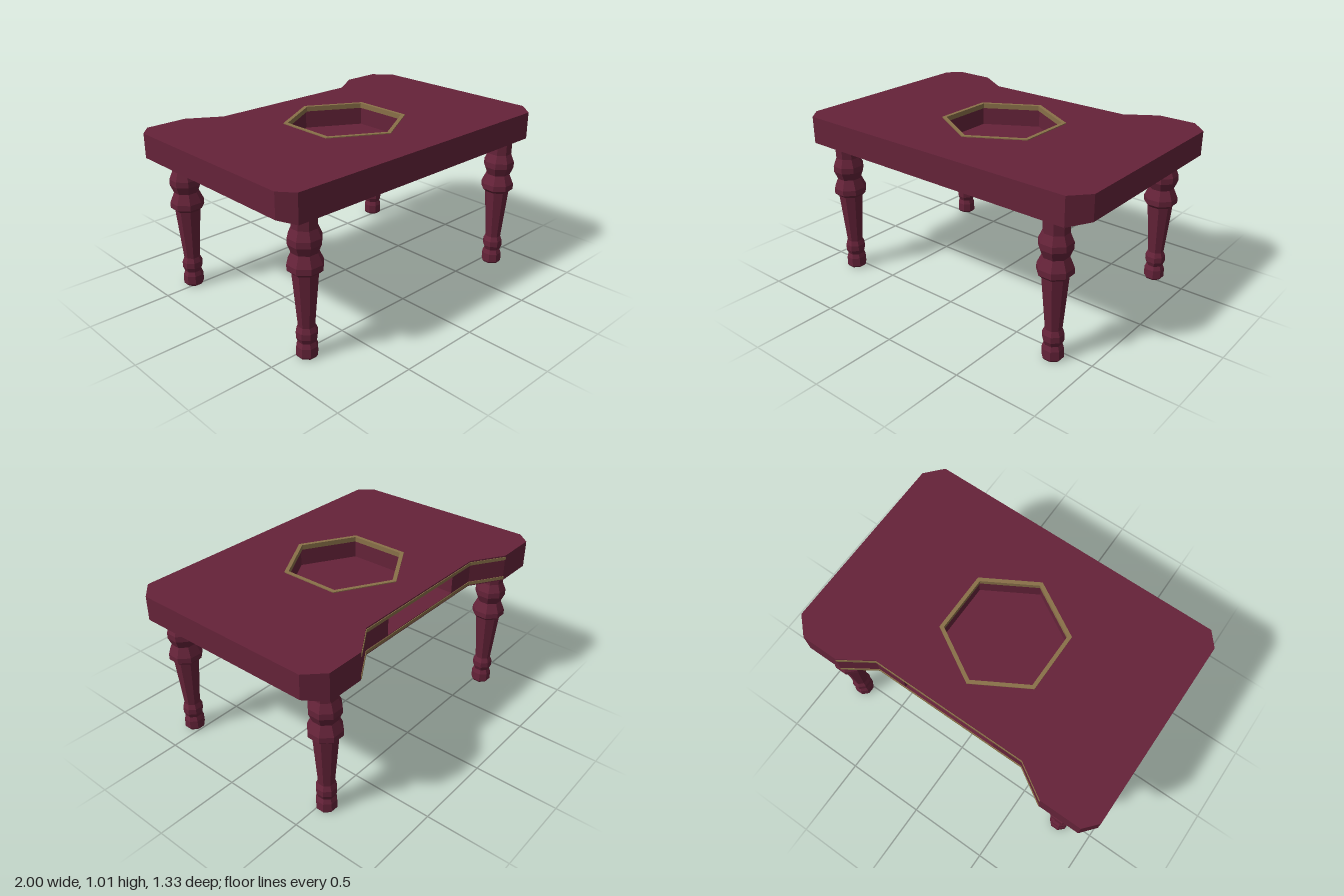
import * as THREE from 'three';

const wood = new THREE.MeshStandardMaterial({ color: 0x652339, flatShading: true });
wood.name = 'burgundy wood';
const brass = new THREE.MeshStandardMaterial({ color: 0x897048, flatShading: true });
brass.name = 'dull brass';

// Notch along the back edge, as [x, z]
const notch = [[-0.68, -0.665], [-0.485, -0.545], [0.485, -0.545], [0.67, -0.665]];
// Rest of the table outline, going round from the back left corner
const rim = [[0.9, -0.665], [1, -0.565], [1, 0.56], [0.905, 0.665],
  [-0.93, 0.665], [-1, 0.58], [-1, -0.585], [-0.93, -0.665]];
// Drawer slot cut into the middle of the notch
const slot = [[-0.3, -0.545], [-0.3, -0.39], [0.3, -0.39], [0.3, -0.545]];

const toVectors = (pts) => pts.map(([x, z]) => new THREE.Vector2(x, z));

// Regular hexagon with corners towards the front and back
function hexagon(r) {
  return Array.from({ length: 6 }, (_, i) => {
    const a = Math.PI / 2 + (i * Math.PI) / 3;
    return [r * Math.cos(a), r * Math.sin(a)];
  });
}

// Horizontal slab between two heights, with an optional hole
function slab(name, pts, bottom, top, material, hole) {
  const shape = new THREE.Shape(toVectors(pts));
  if (hole) shape.holes.push(new THREE.Path(toVectors(hole)));
  const geo = new THREE.ExtrudeGeometry(shape, { depth: top - bottom, bevelEnabled: false });
  geo.rotateX(Math.PI / 2).translate(0, top, 0);
  const mesh = new THREE.Mesh(geo, material);
  mesh.name = name;
  return mesh;
}

function makeTop() {
  const group = new THREE.Group();
  group.name = 'tableTop';
  const outline = [...notch, ...rim];
  const slotted = [notch[0], notch[1], ...slot, notch[2], notch[3], ...rim];
  const well = hexagon(0.355);

  // Underside rises slightly at the two short ends
  const base = slab('topBase', outline, 0.84, 0.872, wood);
  const pos = base.geometry.attributes.position;
  for (let i = 0; i < pos.count; i++) {
    if (Math.abs(pos.getX(i)) > 0.99 && pos.getY(i) < 0.85) pos.setY(i, 0.86);
  }
  base.geometry.computeVertexNormals();

  group.add(
    base,
    slab('topMiddle', slotted, 0.872, 0.975, wood, well),
    slab('topSurface', outline, 0.975, 1.005, wood, well),
    slab('wellTrim', hexagon(0.369), 0.98, 1.01, brass, hexagon(0.343))
  );

  // Brass strips above and below the slot, following the notch
  const strip = [
    ...notch.map(([x, z]) => [x, z - 0.004]),
    ...notch.map(([x, z]) => [x, z + 0.01]).reverse()
  ];
  group.add(
    slab('upperNotchTrim', strip, 0.977, 0.997, brass),
    slab('lowerNotchTrim', strip, 0.848, 0.868, brass)
  );
  return group;
}

// Turned leg profile: [half width, height]
const legProfile = [
  [0, 0], [0.049, 0], [0.057, 0.012], [0.056, 0.065], [0.046, 0.092], [0.056, 0.12],
  [0.056, 0.155], [0.044, 0.185], [0.069, 0.5], [0.092, 0.522], [0.092, 0.555],
  [0.067, 0.615], [0.086, 0.665], [0.086, 0.7], [0.066, 0.75], [0.067, 0.86]
];

export function createModel() {
  const model = new THREE.Group();
  model.name = 'table';
  model.add(makeTop());

  // Eight-sided legs with flat faces to the front and sides
  const legGeo = new THREE.LatheGeometry(
    legProfile.map(([r, y]) => new THREE.Vector2(r / Math.cos(Math.PI / 8), y)), 8, Math.PI / 8);
  const legs = [
    ['frontLeftLeg', 0.79, 0.56], ['frontRightLeg', -0.79, 0.54],
    ['backLeftLeg', 0.79, -0.533], ['backRightLeg', -0.79, -0.533]
  ];
  for (const [name, x, z] of legs) {
    const leg = new THREE.Mesh(legGeo, wood);
    leg.name = name;
    leg.position.set(x, 0, z);
    model.add(leg);
  }
  return model;
}
